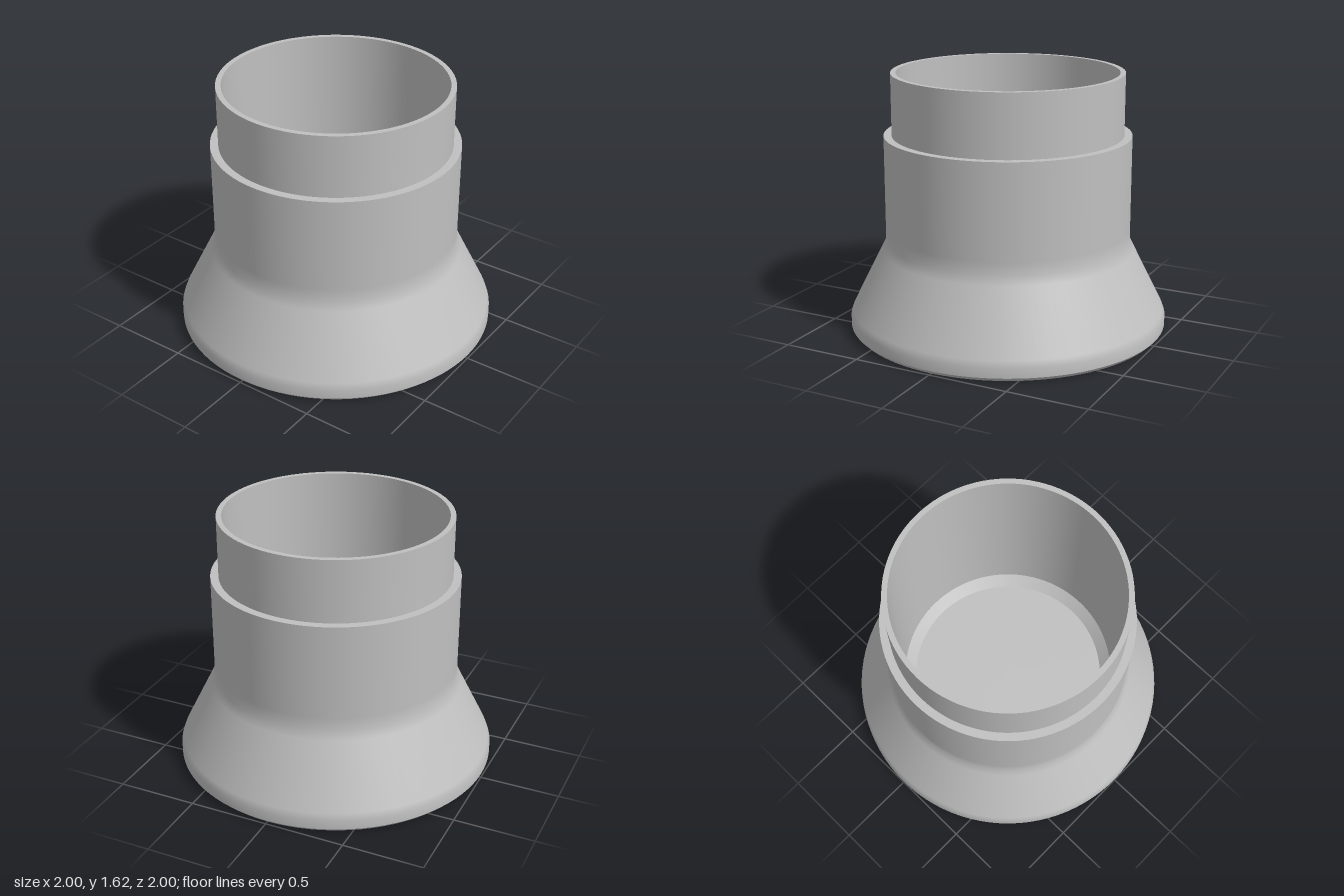
import * as THREE from 'three';

const SEGMENTS = 96;

export function createModel() {
  const group = new THREE.Group();
  group.name = 'flaredSocket';
  const grey = new THREE.MeshStandardMaterial({ color: 0xc0c0c0 });
  grey.name = 'plain grey';

  // Each profile is its own smooth surface; joints between profiles stay sharp.
  const turn = (name, profile) => {
    const points = profile.map(([r, y]) => new THREE.Vector2(r, y));
    const mesh = new THREE.Mesh(new THREE.LatheGeometry(points, SEGMENTS), grey);
    mesh.name = name;
    group.add(mesh);
  };

  // Outside, from the underside up
  turn('underside', [[0, 0], [0.975, 0]]);
  turn('baseChamfer', [[0.975, 0], [1, 0.025]]);
  turn('flaredBody', [
    [1, 0.025], [1, 0.085], [0.985, 0.125], [0.795, 0.505],
    [0.768, 0.56], [0.768, 0.64], [0.768, 1.23],
  ]);
  turn('shoulder', [[0.768, 1.23], [0.718, 1.23]]);
  turn('collar', [[0.718, 1.23], [0.718, 1.617]]);
  turn('rim', [[0.718, 1.617], [0.685, 1.617]]);

  // Inside, from the rim down
  turn('innerWall', [[0.685, 1.617], [0.685, 0.265]]);
  turn('innerChamfer', [[0.685, 0.265], [0.62, 0.2]]);
  turn('innerFloor', [[0.62, 0.2], [0, 0.2]]);

  return group;
}
